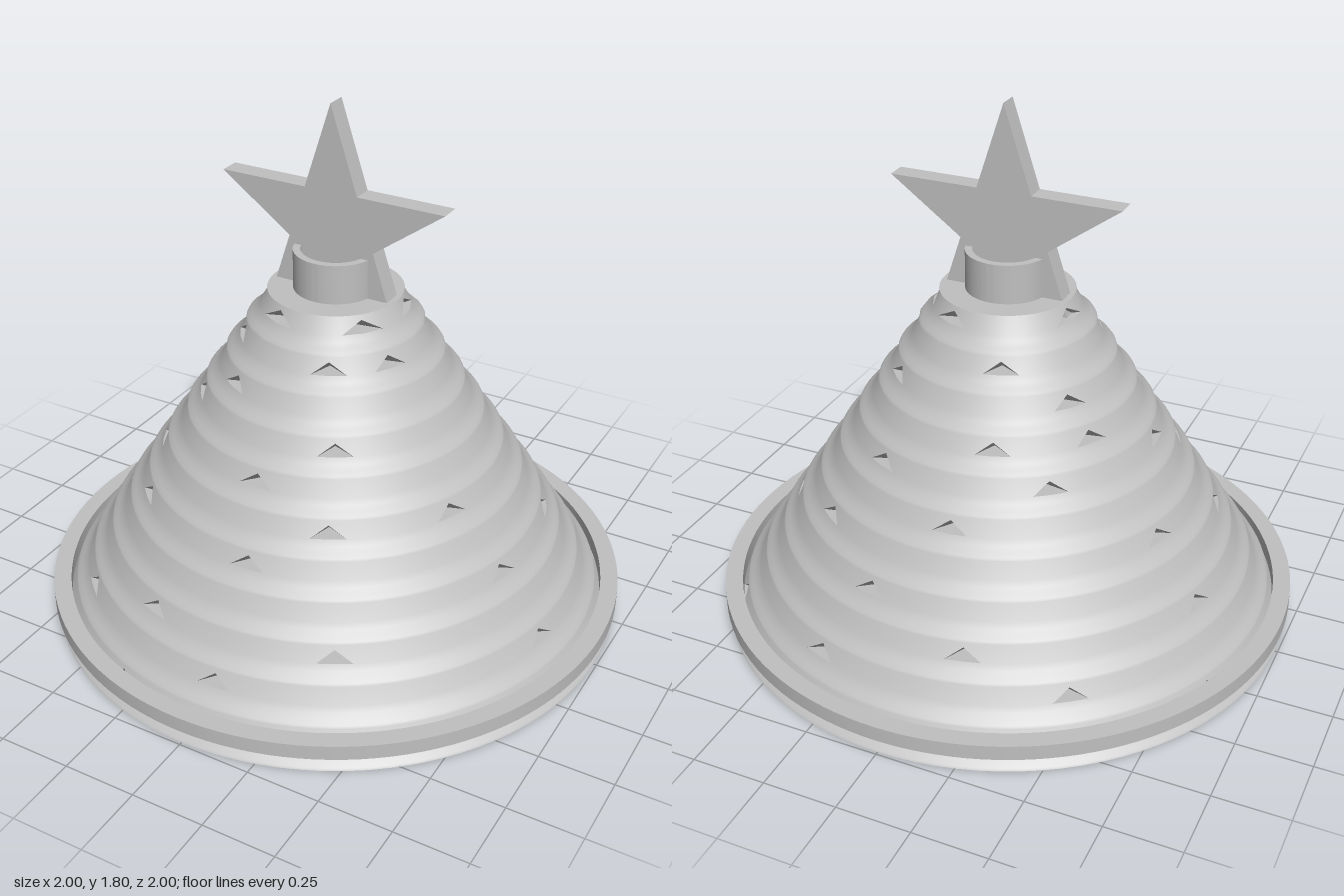
import * as THREE from 'three';
import { toCreasedNormals } from 'three/addons/utils/BufferGeometryUtils.js';

const TIERS = 11, H = 0.1067, STEP = 0.0695, R0 = 0.99, TOP = TIERS * H;

// Flared tier profile: [height fraction, radius offset]
const PROFILE = [[0, 0], [0.06, -0.004], [0.16, -0.018], [0.3, -0.034], [0.47, -0.047], [0.82, -0.069], [1, -0.08]];
const HOLE_ROW = 4; // pits span the profile band between rows 4 and 5

// Angles in degrees of the triangular pits in each tier, 0 = front, 90 = left
const PITS = [
  [-19, 39, -112, 123],
  [-43, 3, 80, 160, -143],
  [-18, 29, -166, -105],
  [-71, 77, 111, 167],
  [-44, 4, 142, -108],
  [-62, 27, 68, -174],
  [0, 153, -141, -85],
  [-55, 29, -162, -120],
  [-30, 133, -125],
  [-54, 25, 63, -160],
  [-22, 50, 105, 155, -100],
];

function tierGeometry(index) {
  const radius = R0 - STEP * index, y0 = H * index;
  const half = (index === 10 ? 0.07 : 0.058) / (radius - 0.05);
  const centres = PITS[index].map(THREE.MathUtils.degToRad);
  const positions = [], normals = [];
  const at = (a, r, y) => new THREE.Vector3(r * Math.sin(a), y, r * Math.cos(a));

  // Profile rows with their slope normals
  const rows = PROFILE.map(([t, d], k) => {
    const p = PROFILE[Math.max(k - 1, 0)], q = PROFILE[Math.min(k + 1, PROFILE.length - 1)];
    const n = new THREE.Vector2((q[0] - p[0]) * H, p[1] - q[1]).normalize();
    return { r: radius + d, y: y0 + t * H, n };
  });
  const vertex = (a, row) => ({ p: at(a, row.r, row.y), n: at(a, row.n.x, row.n.y) });
  const smooth = (...corners) => corners.forEach(({ p, n }) => {
    positions.push(p.x, p.y, p.z);
    normals.push(n.x, n.y, n.z);
  });
  const flat = (a, b, c) => {
    const n = b.clone().sub(a).cross(c.clone().sub(a)).normalize();
    smooth({ p: a, n }, { p: b, n }, { p: c, n });
  };

  // Columns: regular spacing, replaced by three columns at each pit
  const columns = [];
  const start = centres[0] - half, N = 96;
  const wrap = (a) => ((a - start) % (2 * Math.PI) + 2 * Math.PI) % (2 * Math.PI);
  const spans = centres.map((c, k) => (k === 0 ? half : wrap(c)));
  for (let k = 0; k < N; k++) {
    const a = k / N * Math.PI * 2;
    if (spans.every((c) => Math.abs(a - c) > half + 0.005)) columns.push({ a, kind: '' });
  }
  for (const c of spans) {
    columns.push({ a: c - half, kind: 'left' }, { a: c, kind: 'right' }, { a: c + half, kind: '' });
  }
  columns.sort((p, q) => p.a - q.a);
  columns.push({ a: columns[0].a + Math.PI * 2, kind: '' });

  for (let k = 0; k < columns.length - 1; k++) {
    const a0 = columns[k].a + start, a1 = columns[k + 1].a + start;
    for (let j = 0; j < rows.length - 1; j++) {
      const a = vertex(a0, rows[j]), b = vertex(a1, rows[j]);
      const c = vertex(a1, rows[j + 1]), d = vertex(a0, rows[j + 1]);
      const kind = j === HOLE_ROW ? columns[k].kind : '';
      if (kind === 'left') {
        const inner = at(a1, rows[j].r - 0.07, rows[j].y);
        smooth(a, c, d);
        flat(a.p, b.p, inner);
        flat(c.p, a.p, inner);
      } else if (kind === 'right') {
        const inner = at(a0, rows[j].r - 0.07, rows[j].y);
        smooth(b, c, d);
        flat(a.p, b.p, inner);
        flat(b.p, d.p, inner);
      } else {
        smooth(a, b, c);
        smooth(a, c, d);
      }
    }
  }
  const geometry = new THREE.BufferGeometry();
  geometry.setAttribute('position', new THREE.Float32BufferAttribute(positions, 3));
  geometry.setAttribute('normal', new THREE.Float32BufferAttribute(normals, 3));
  return geometry;
}

// Upright tube with square edges
function tubeGeometry(outer, inner, height) {
  const shape = new THREE.Shape().absarc(0, 0, outer, 0, Math.PI * 2);
  shape.holes.push(new THREE.Path().absarc(0, 0, inner, 0, Math.PI * 2, true));
  const g = new THREE.ExtrudeGeometry(shape, { depth: height, bevelEnabled: false, curveSegments: 64 });
  return toCreasedNormals(g.rotateX(-Math.PI / 2), 0.6);
}

export function createModel() {
  const group = new THREE.Group();
  const grey = new THREE.MeshStandardMaterial({ color: 0xc0c0c0 });
  grey.name = 'grey';
  const add = (name, geometry, y = 0) => {
    const mesh = new THREE.Mesh(geometry, grey);
    mesh.name = name;
    mesh.position.y = y;
    group.add(mesh);
    return mesh;
  };

  // Tree tiers, each with the underside of its overhanging lip
  for (let i = 0; i < TIERS; i++) {
    add(`tier${i + 1}`, tierGeometry(i));
    if (i > 0) {
      const r = R0 - STEP * i;
      add(`lip${i + 1}`, new THREE.RingGeometry(r - 0.02, r, 96).rotateX(Math.PI / 2), i * H);
    }
  }
  add('bottom', new THREE.CircleGeometry(R0, 96).rotateX(Math.PI / 2));
  add('treeTop', new THREE.CircleGeometry(0.225, 64).rotateX(-Math.PI / 2), TOP);

  // Flat band around the foot
  add('baseRing', tubeGeometry(1, 0.94, 0.052), 0.055);

  // Collar holding the star, with a cross bar inside
  add('collar', tubeGeometry(0.14, 0.115, 0.134), TOP);
  add('crossBar', new THREE.BoxGeometry(0.085, 0.06, 0.21), TOP + 0.03);

  // Five-pointed star
  const star = new THREE.Shape();
  for (let k = 0; k < 10; k++) {
    const r = k % 2 ? 0.161 : 0.421, a = Math.PI / 2 + k * Math.PI / 5;
    star[k ? 'lineTo' : 'moveTo'](r * Math.cos(a), r * Math.sin(a));
  }
  star.closePath();
  const starGeometry = new THREE.ExtrudeGeometry(star, { depth: 0.07, bevelEnabled: false });
  add('star', starGeometry.translate(0, 0, -0.035), 1.384);

  return group;
}
